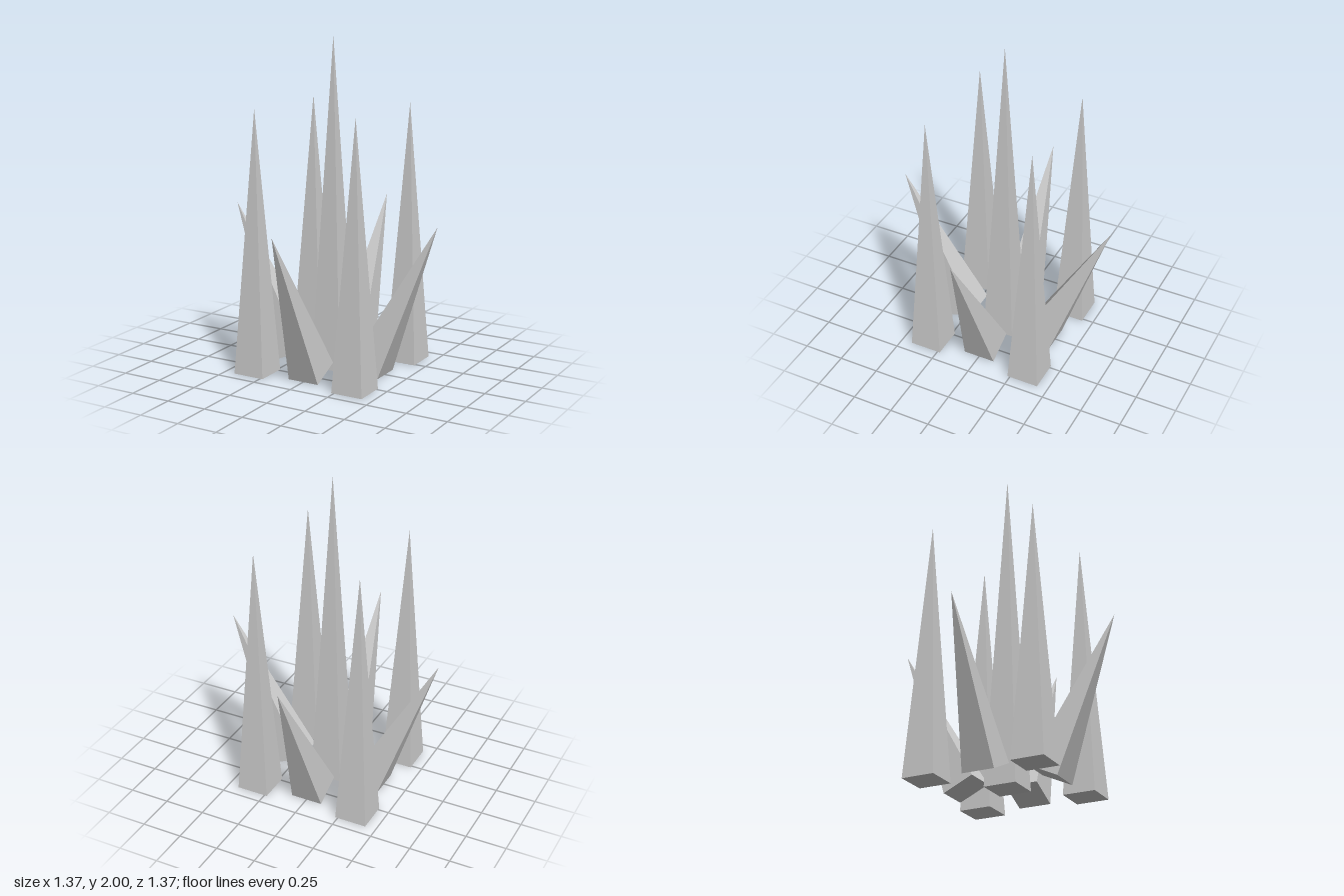
import * as THREE from 'three';

const RADIUS = 0.14; // half diagonal of the square spike base
const material = new THREE.MeshStandardMaterial({ color: 0xcccccc, flatShading: true });

// Four-sided spike standing on its base at the origin
function spike(name, height) {
  const geometry = new THREE.ConeGeometry(RADIUS, height, 4)
    .rotateY(Math.PI / 4)
    .translate(0, height / 2, 0);
  const mesh = new THREE.Mesh(geometry, material);
  mesh.name = name;
  return mesh;
}

export function createModel() {
  const model = new THREE.Group();
  model.name = 'spikeCluster';

  // Tall spike in the middle
  model.add(spike('centerSpike', 2));

  // Upright spikes at the four corners
  for (const x of [-1, 1]) {
    for (const z of [-1, 1]) {
      const corner = spike('cornerSpike', 1.59);
      corner.position.set(x * 0.333, 0, z * 0.333);
      model.add(corner);
    }
  }

  // Short spikes leaning outward on the four sides
  const tilt = THREE.MathUtils.degToRad(25);
  for (let i = 0; i < 4; i++) {
    const side = new THREE.Group();
    side.name = 'leaningSpike';
    const leaning = spike('leaningSpikeBody', 0.99);
    leaning.position.set(0.265, 0.042, 0);
    leaning.rotation.z = -tilt;
    side.add(leaning);
    side.rotation.y = (i * Math.PI) / 2;
    model.add(side);
  }

  return model;
}
